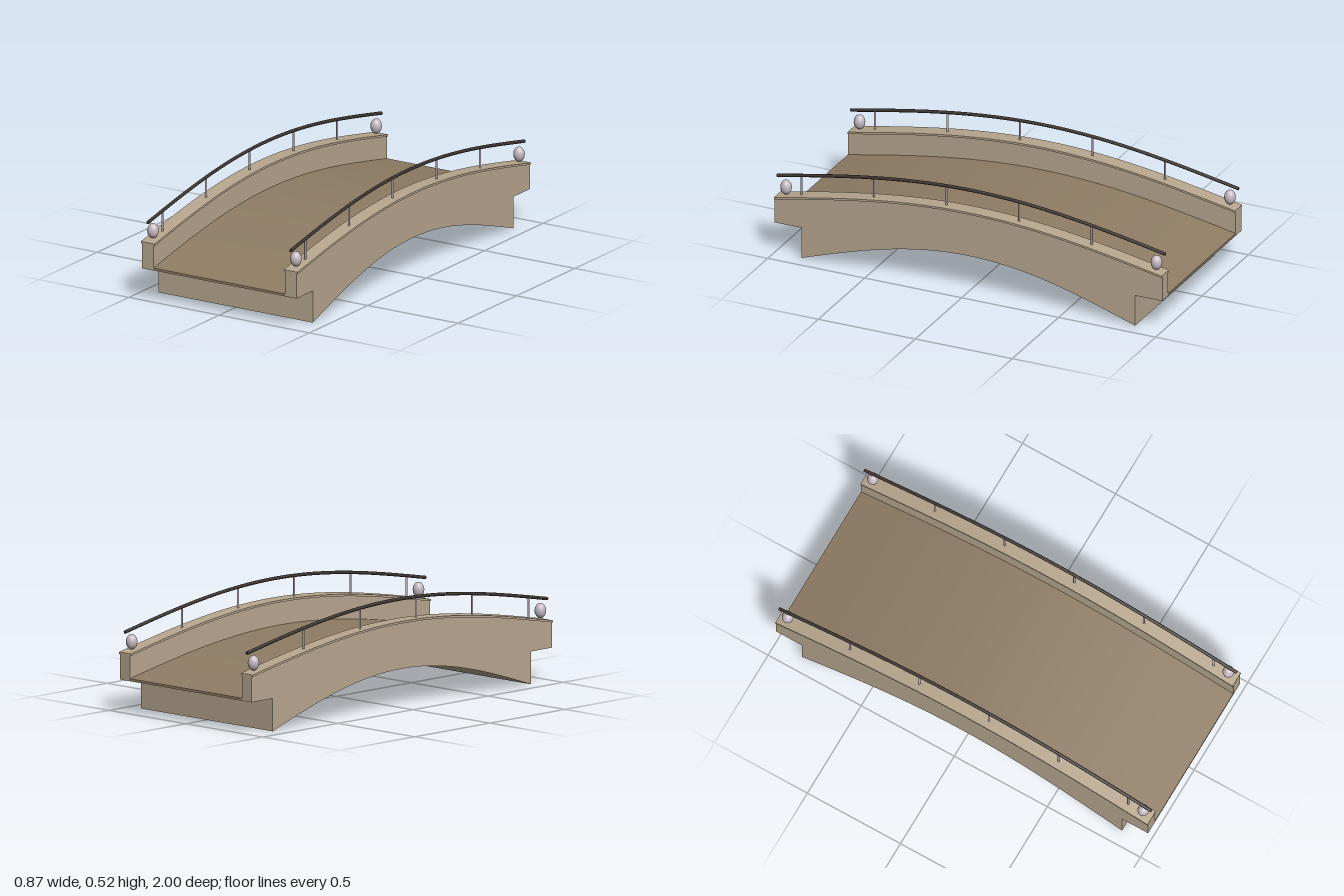
import * as THREE from 'three';
import { toCreasedNormals } from 'three/addons/utils/BufferGeometryUtils.js';

const STEPS = 32, RISE = 0.125;
// Height of a crowned line that starts at `base` on both ends of the bridge
const crown = (base) => (z) => base + RISE * Math.cos(z * Math.PI / 2);
// Points along a curve y = f(z)
const trace = (f, from, to) => Array.from({ length: STEPS + 1 }, (_, i) => {
  const z = from + (to - from) * i / STEPS;
  return new THREE.Vector2(z, f(z));
});

// Extrudes a side profile (z, y) across the bridge, centred on x
function across(points, width, x = 0) {
  const geo = new THREE.ExtrudeGeometry(new THREE.Shape(points), { depth: width, bevelEnabled: false });
  geo.translate(0, 0, -width / 2).rotateY(-Math.PI / 2).translate(x, 0, 0);
  return toCreasedNormals(geo, 0.4);
}

export function createModel() {
  const mat = (name, color) => new THREE.MeshStandardMaterial({ name, color });
  const stone = mat('stone', 0xb8a78f);
  const paving = mat('paving', 0x8f7c64);
  const iron = mat('darkRail', 0x3b342f);
  const pale = mat('paleMetal', 0xc6bac2);

  const bridge = new THREE.Group();
  bridge.name = 'archedBridge';
  const add = (name, geo, material, parent = bridge) => {
    const mesh = new THREE.Mesh(geo, material);
    mesh.name = name;
    parent.add(mesh);
    return mesh;
  };

  // Side profile: arched underside, stepped abutments, crowned top
  const foot = 0.86, ledge = 0.155;
  const arch = (z) => 0.185 * Math.cos(z / foot * Math.PI / 2);
  const profile = (top) => [
    ...trace(arch, -foot, foot),
    new THREE.Vector2(foot, ledge), new THREE.Vector2(1, ledge),
    ...trace(top, 1, -1),
    new THREE.Vector2(-1, ledge), new THREE.Vector2(-foot, ledge),
  ];
  // Thin crowned layer between two heights
  const layer = (low, high) => [...trace(crown(low), -1, 1), ...trace(crown(high), 1, -1)];

  add('archCore', across(profile(crown(0.157)), 0.73), stone);
  add('deck', across(layer(0.157, 0.167), 0.73), paving);

  const railLine = crown(0.383), capLine = crown(0.285);
  for (const [side, s] of [['left', 1], ['right', -1]]) {
    const parapet = new THREE.Group();
    parapet.name = side + 'Parapet';
    bridge.add(parapet);
    const x = 0.396 * s;

    add('wall', across(profile(crown(0.275)), 0.064, x), stone, parapet);
    add('cap', across(layer(0.275, 0.285), 0.076, x), stone, parapet);

    // Handrail
    const path = new THREE.CatmullRomCurve3(trace(railLine, -1, 1).map((p) => new THREE.Vector3(x, p.y, p.x)));
    add('handrail', new THREE.TubeGeometry(path, 48, 0.008, 10), iron, parapet);
    for (const end of [-1, 1]) {
      const plug = add('handrailEnd', new THREE.CircleGeometry(0.008, 10), iron, parapet);
      plug.position.set(x, railLine(1), end);
      if (end < 0) plug.rotation.y = Math.PI;
    }

    // Posts
    for (let i = 0; i < 5; i++) {
      const z = 0.875 - i * 0.374, low = capLine(z) - 0.005, high = railLine(z);
      add('post', new THREE.CylinderGeometry(0.005, 0.005, high - low, 10), pale, parapet)
        .position.set(x, (low + high) / 2, z);
    }

    // Egg-shaped end ornaments
    for (const z of [-0.955, 0.955]) {
      const ball = add('endOrnament', new THREE.SphereGeometry(1, 24, 16), pale, parapet);
      ball.scale.set(0.027, 0.036, 0.027);
      ball.position.set(x, 0.332, z);
    }
  }
  return bridge;
}
